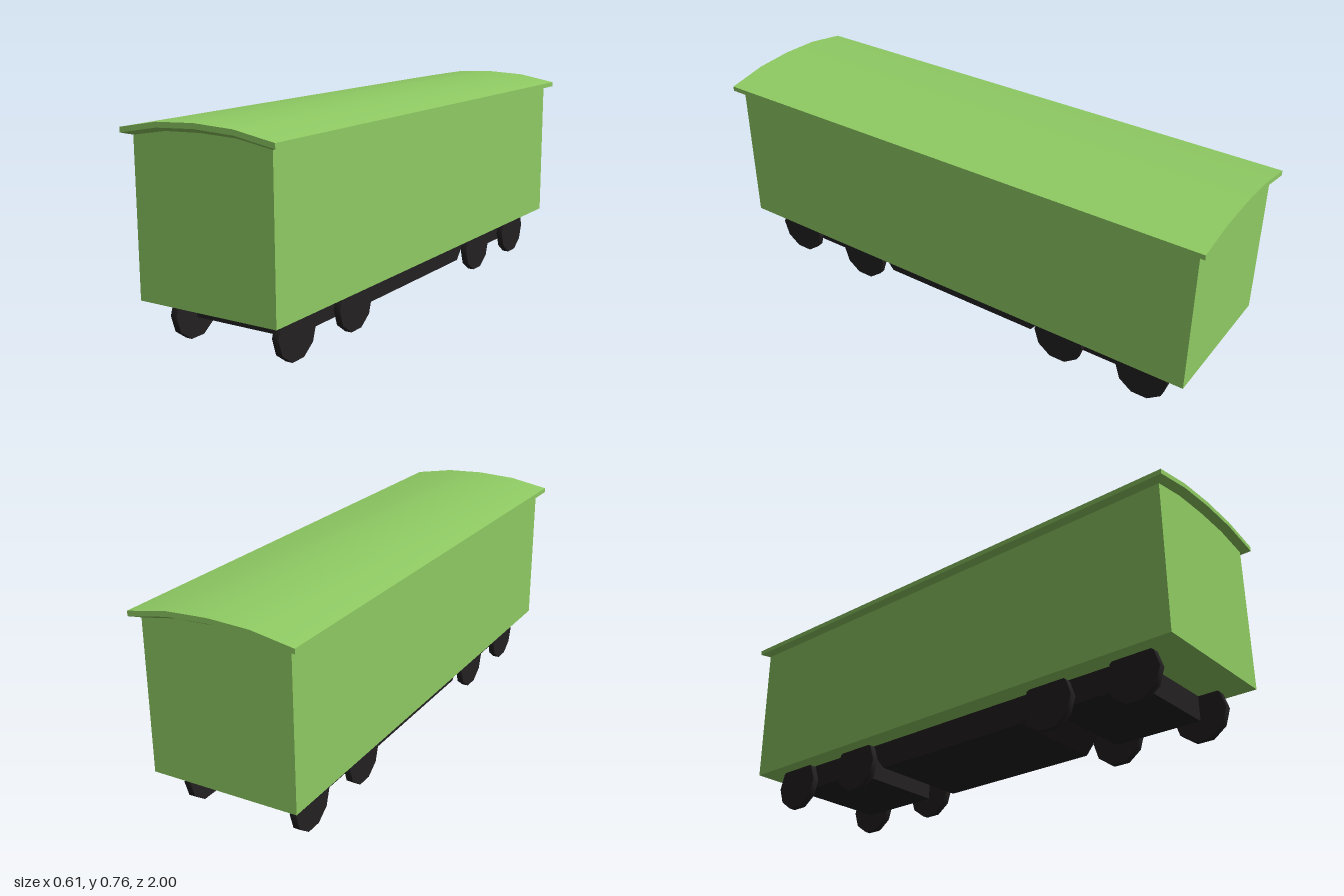
import * as THREE from 'three';
import { toCreasedNormals } from 'three/addons/utils/BufferGeometryUtils.js';

const green = new THREE.MeshStandardMaterial({ color: 0x8fcb63 });
const dark = new THREE.MeshStandardMaterial({ color: 0x232021 });

// Arched cross-sections, from left (+x) to right
const arch = (w, edge, m, mid, top) => [[w, edge], [m, mid], [0, top], [-m, mid], [-w, edge]];
const eaveInner = arch(0.273, 0.70, 0.14, 0.722, 0.727);
const eaveOuter = arch(0.303, 0.708, 0.15, 0.735, 0.742);
const roofTop = arch(0.303, 0.726, 0.15, 0.753, 0.76);

function addMesh(parent, name, geometry, material) {
  const mesh = new THREE.Mesh(geometry, material);
  mesh.name = name;
  parent.add(mesh);
  return mesh;
}

// Extrudes an x-y outline along z, centred on z = 0
function prism(points, length) {
  const shape = new THREE.Shape(points.map(([x, y]) => new THREE.Vector2(x, y)));
  return new THREE.ExtrudeGeometry(shape, { depth: length, bevelEnabled: false }).translate(0, 0, -length / 2);
}

// Closed rings of an arch: along the front end, then back along the rear end
function ring(profile, z) {
  const front = profile.map(([x, y]) => [x, y, z]);
  const back = profile.map(([x, y]) => [x, y, -z]).reverse();
  return [...front, ...back];
}

// Roof: sloping eaves, upright rim and arched top
function roofGeometry() {
  const rings = [ring(eaveInner, 0.972), ring(eaveOuter, 1), ring(roofTop, 1)];
  const n = rings[0].length;
  const index = [];
  const quad = (a, b, c, d) => index.push(a, b, c, a, c, d);
  for (let r = 0; r < 2; r++) {
    for (let i = 0; i < n; i++) {
      const j = (i + 1) % n;
      quad(r * n + j, r * n + i, (r + 1) * n + i, (r + 1) * n + j);
    }
  }
  for (let i = 0; i < n / 2 - 1; i++) {
    const t = 2 * n;
    quad(t + i + 1, t + i, t + n - 1 - i, t + n - 2 - i);
  }
  const geo = new THREE.BufferGeometry();
  geo.setAttribute('position', new THREE.Float32BufferAttribute(rings.flat(2), 3));
  geo.setIndex(index);
  return toCreasedNormals(geo, Math.PI / 7);
}

export function createModel() {
  const model = new THREE.Group();
  model.name = 'railwayCarriage';

  // Body with an arched top that meets the eaves
  addMesh(model, 'body', prism([[-0.273, 0.16], [0.273, 0.16], ...eaveInner], 1.944), green);
  addMesh(model, 'roof', roofGeometry(), green);

  // Underfloor box with sloping ends
  const under = prism([[-0.41, 0.16], [-0.36, 0.1], [-0.326, 0.06], [0.326, 0.06], [0.36, 0.1], [0.41, 0.16]], 0.39);
  addMesh(model, 'underfloorBox', under.rotateY(Math.PI / 2), dark);

  // Two bogies with four ten-sided wheels each
  const wheelGeo = toCreasedNormals(new THREE.CylinderGeometry(0.1, 0.1, 0.025, 10).rotateZ(Math.PI / 2), 0.7);
  const frameGeo = new THREE.BoxGeometry(0.39, 0.092, 0.337);
  for (const end of [1, -1]) {
    const bogie = new THREE.Group();
    bogie.name = end > 0 ? 'frontBogie' : 'rearBogie';
    bogie.position.z = end * 0.626;
    addMesh(bogie, 'bogieFrame', frameGeo, dark).position.y = 0.114;
    for (const side of [1, -1]) {
      for (const z of [0.168, -0.168]) {
        addMesh(bogie, side > 0 ? 'leftWheel' : 'rightWheel', wheelGeo, dark).position.set(side * 0.2075, 0.0951, z);
      }
    }
    model.add(bogie);
  }
  return model;
}
